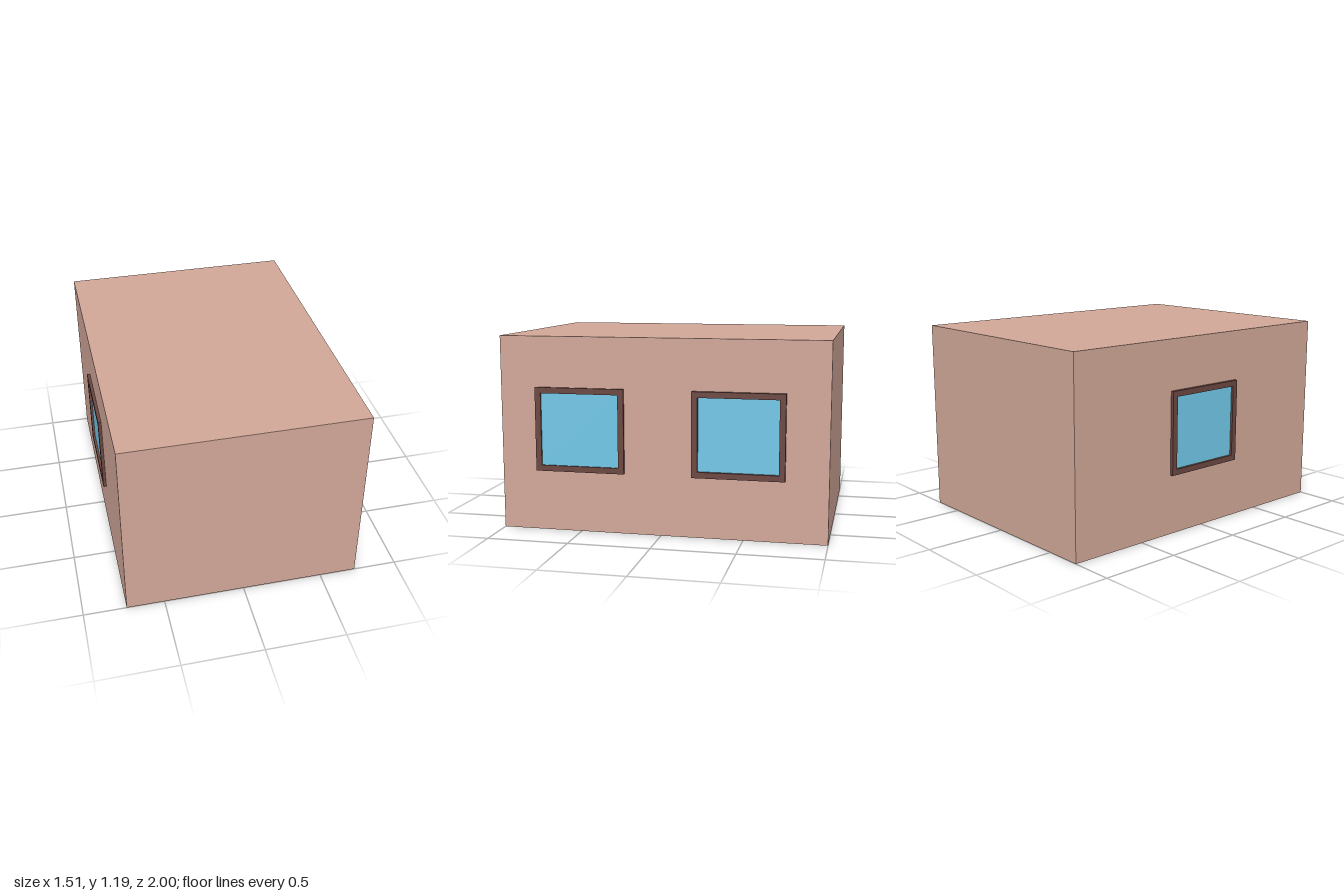
import * as THREE from 'three';

const wallMat = new THREE.MeshStandardMaterial({ color: 0xd2a899 });
const frameMat = new THREE.MeshStandardMaterial({ color: 0x6b4640 });
const glassMat = new THREE.MeshStandardMaterial({ color: 0x72c8e8 });

const WIDTH = 0.555, HEIGHT = 0.515, BORDER = 0.036;

function rectangle(Path, w, h) {
  return new Path([
    new THREE.Vector2(-w / 2, -h / 2), new THREE.Vector2(w / 2, -h / 2),
    new THREE.Vector2(w / 2, h / 2), new THREE.Vector2(-w / 2, h / 2),
  ]);
}

// Window facing local +z: a square-cut frame around a recessed pane
function createWindow(name, depth) {
  const group = new THREE.Group();
  group.name = name;
  const w = WIDTH - 2 * BORDER, h = HEIGHT - 2 * BORDER;

  const outline = rectangle(THREE.Shape, WIDTH, HEIGHT);
  outline.holes.push(rectangle(THREE.Path, w, h));
  const frame = new THREE.Mesh(
    new THREE.ExtrudeGeometry(outline, { depth: depth + 0.01, bevelEnabled: false }), frameMat);
  frame.name = 'windowFrame';
  frame.position.z = -0.01;

  const pane = new THREE.Mesh(new THREE.BoxGeometry(w, h, 0.012), glassMat);
  pane.name = 'windowPane';
  pane.position.z = -0.001;

  group.add(frame, pane);
  return group;
}

export function createModel() {
  const model = new THREE.Group();
  model.name = 'building';

  // Plain block walls
  const walls = new THREE.Mesh(new THREE.BoxGeometry(1.464, 1.194, 2), wallMat);
  walls.name = 'walls';
  walls.position.set(-0.003, 0.597, 0);
  model.add(walls);

  // Two windows on the left wall, one on the right
  const windows = [
    ['leftFrontWindow', 1, 0.729, 0.502, 0.016],
    ['leftBackWindow', 1, 0.729, -0.468, 0.025],
    ['rightWindow', -1, -0.735, 0.005, 0.02],
  ];
  for (const [name, side, x, z, depth] of windows) {
    const win = createWindow(name, depth);
    win.position.set(x, 0.628, z);
    win.rotation.y = side * Math.PI / 2;
    model.add(win);
  }
  return model;
}
